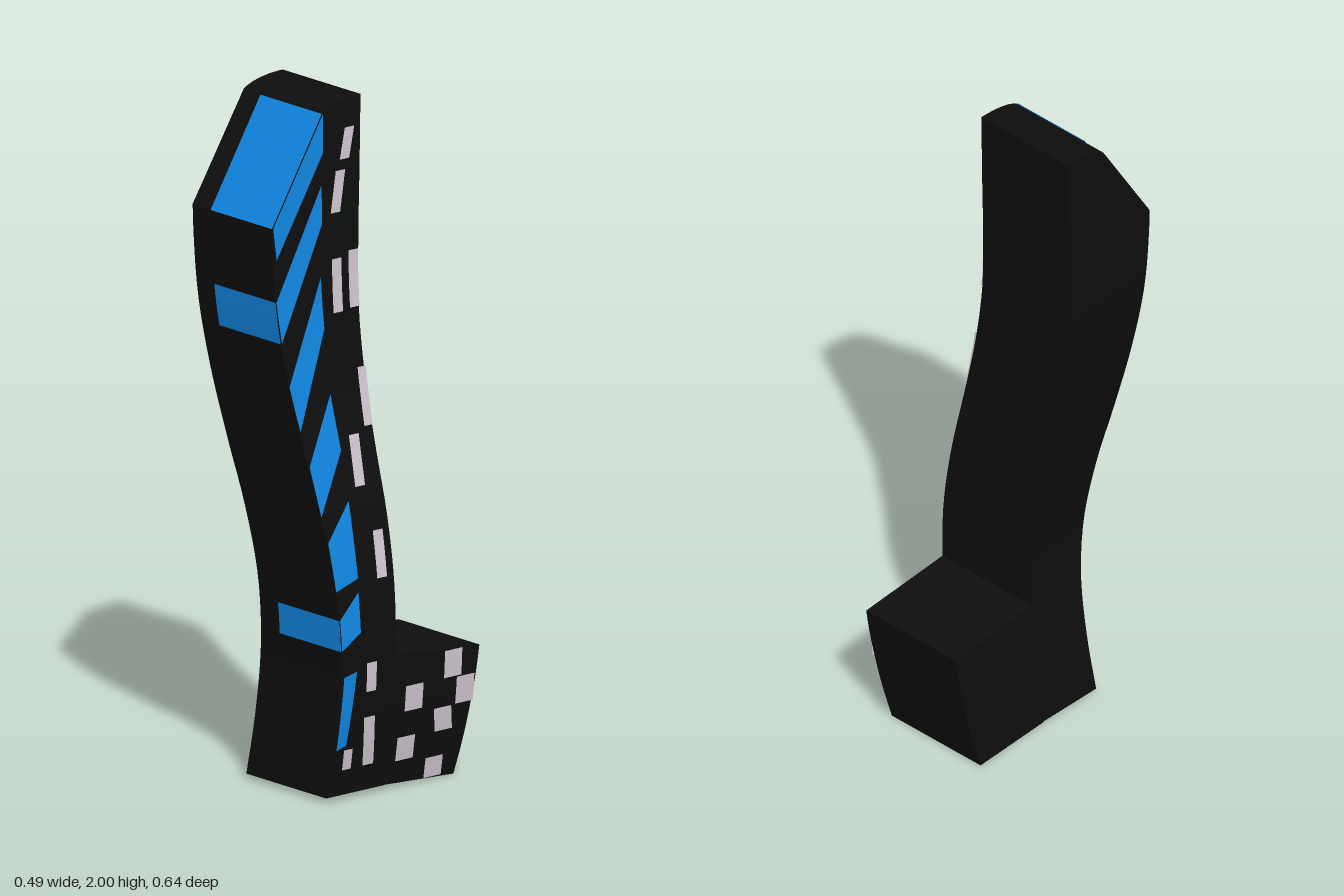
import * as THREE from 'three';
import { toCreasedNormals } from 'three/addons/utils/BufferGeometryUtils.js';

// Smooth curve through values spaced evenly in height
function curve(step, values) {
  const c = new THREE.CubicInterpolant(values.map((_, i) => i * step), values, 1, new Float32Array(1));
  return y => c.evaluate(y)[0];
}

// Outline of the swaying tower as functions of height
const leftX = curve(0.2, [-0.146, -0.12, -0.105, -0.109, -0.135, -0.174, -0.21, -0.236, -0.245, -0.245, -0.245]);
const rightX = curve(0.2, [0.196, 0.226, 0.24, 0.231, 0.203, 0.166, 0.129, 0.104, 0.096, 0.093, 0.09]);
const backZ = curve(0.2, [-0.005, -0.007, -0.01, -0.014, -0.011, 0.001, 0.008, 0.009, 0.003, -0.004, -0.01]);
const footZ = curve(0.1, [-0.262, -0.28, -0.294, -0.308, -0.32]);
const lowerFront = curve(0.2, [0.211, 0.197, 0.19, 0.198, 0.223, 0.256, 0.286, 0.308, 0.319, 0.323]);

// Front face: curved below, sloped at the top, rounded into the roof
function frontZ(y) {
  if (y <= 1.67) return lowerFront(y);
  if (y <= 1.97) return THREE.MathUtils.mapLinear(y, 1.67, 1.97, lowerFront(1.67), 0.133);
  return 0.133 * Math.sqrt(Math.max(0, 1 - ((y - 1.97) / 0.03) ** 1.3));
}

// Box whose horizontal rows are fitted to the outline
function fittedBox(rows, place) {
  const n = rows.length - 1;
  const geo = new THREE.BoxGeometry(1, 1, 1, 1, n, 1);
  const p = geo.attributes.position;
  for (let i = 0; i < p.count; i++) {
    const y = rows[Math.round((p.getY(i) + 0.5) * n)];
    const [x, yy, z] = place(p.getX(i) > 0, y, p.getZ(i) > 0);
    p.setXYZ(i, x, yy, z);
  }
  return toCreasedNormals(geo, 0.4);
}

// Thin curved panel: four corners (u, y), top-left, bottom-left, bottom-right, top-right
function panel([tl, bl, br, tr], place) {
  const geo = new THREE.PlaneGeometry(1, 1, 1, 8);
  const p = geo.attributes.position;
  const mix = THREE.MathUtils.lerp;
  for (let i = 0; i < p.count; i++) {
    const s = p.getX(i) + 0.5, t = 0.5 - p.getY(i);
    const [u, y] = [0, 1].map(k => mix(mix(tl[k], bl[k], t), mix(tr[k], br[k], t), s));
    p.setXYZ(i, ...place(u, y));
  }
  geo.computeVertexNormals();
  return geo;
}

const GAP = 0.004;
const onSide = (z, y) => [rightX(y) + GAP, y, z];
const onFront = (u, y) => [rightX(y) + GAP - u, y, frontZ(y) + GAP];

export function createModel() {
  const group = new THREE.Group();
  const mat = (name, color, side = THREE.FrontSide) => {
    const m = new THREE.MeshStandardMaterial({ color, side });
    m.name = name;
    return m;
  };
  const black = mat('black', 0x0e0e0e);
  const blue = mat('blue', 0x1188e4, THREE.DoubleSide);
  const white = mat('pale grey', 0xd2c8d2, THREE.DoubleSide);
  const add = (name, geo, material) => {
    const mesh = new THREE.Mesh(geo, material);
    mesh.name = name;
    group.add(mesh);
  };

  // Tower
  const rows = [];
  for (let i = 0; i <= 36; i++) rows.push(0.015 + (1.655 * i) / 36);
  rows.push(1.77, 1.87, 1.97, 1.978, 1.986, 1.993, 1.998, 2);
  add('tower', fittedBox(rows, (right, y, front) =>
    [right ? rightX(y) : leftX(y), y, front ? frontZ(y) : backZ(y) - (y === 2 ? 0.001 : 0)]), black);

  // Low block at the back, its top and bottom tilted slightly
  const footRows = Array.from({ length: 11 }, (_, i) => i * 0.04);
  add('foot', fittedBox(footRows, (right, y, front) => {
    const yy = front ? 0.015 + y * 0.9625 : 0.001 + y * 0.935;
    return [right ? rightX(y) : leftX(y), yy, front ? backZ(y) : footZ(y)];
  }), black);

  // Blue panels on the front: bottom, top
  for (const [y0, y1] of [[1.67, 1.97], [1.335, 1.455], [0.447, 0.537]]) {
    add('frontPanel', panel([[0.263, y1], [0.263, y0], [0, y0], [0, y1]], onFront), blue);
  }

  // Slanted blue panels on the side: [front z, top y, bottom y, rear z, top y, bottom y]
  const slanted = [
    [[0.133, 1.968], [0.32, 1.67], [0.309, 1.575], [0.133, 1.857]],
    [[0.14, 1.765], [0.313, 1.455], [0.301, 1.335], [0.14, 1.65]],
    [[0.147, 1.5], [0.288, 1.21], [0.267, 1.08], [0.143, 1.35]],
    [[0.143, 1.167], [0.25, 0.98], [0.23, 0.835], [0.13, 1.005]],
    [[0.125, 0.865], [0.216, 0.76], [0.203, 0.62], [0.12, 0.645]],
    [[0.122, 0.607], [0.195, 0.537], [0.19, 0.447], [0.12, 0.49]],
    [[0.135, 0.38], [0.182, 0.37], [0.195, 0.155], [0.16, 0.165]],
  ];
  for (const [rearTop, frontTop, frontLow, rearLow] of slanted) {
    add('sidePanel', panel([frontTop, frontLow, rearLow, rearTop], onSide), blue);
  }

  // Small pale windows on the side: z, y, width, height, slant
  const windows = [
    [0.045, 1.87, 0.035, 0.09, -0.02], [0.08, 1.735, 0.035, 0.12, -0.02],
    [0.088, 1.465, 0.035, 0.155, 0], [0.027, 1.475, 0.035, 0.165, 0],
    [0.02, 1.14, 0.03, 0.165, 0], [0.077, 0.97, 0.036, 0.145, 0],
    [0.032, 0.7, 0.036, 0.135, 0], [0.08, 0.355, 0.036, 0.085, 0],
    [0.076, 0.165, 0.04, 0.145, 0.01], [0.15, 0.122, 0.032, 0.06, 0],
    [-0.082, 0.265, 0.065, 0.075, 0], [-0.064, 0.117, 0.065, 0.07, 0],
    [-0.222, 0.34, 0.064, 0.08, 0], [-0.27, 0.256, 0.065, 0.08, 0],
    [-0.196, 0.18, 0.064, 0.07, 0.01], [-0.178, 0.04, 0.064, 0.06, 0],
  ];
  for (const [z, y, w, h, s] of windows) {
    const a = w / 2, b = h / 2;
    add('sideWindow', panel([[z + a + s / 2, y + b], [z + a - s / 2, y - b],
      [z - a - s / 2, y - b], [z - a + s / 2, y + b]], onSide), white);
  }
  return group;
}
